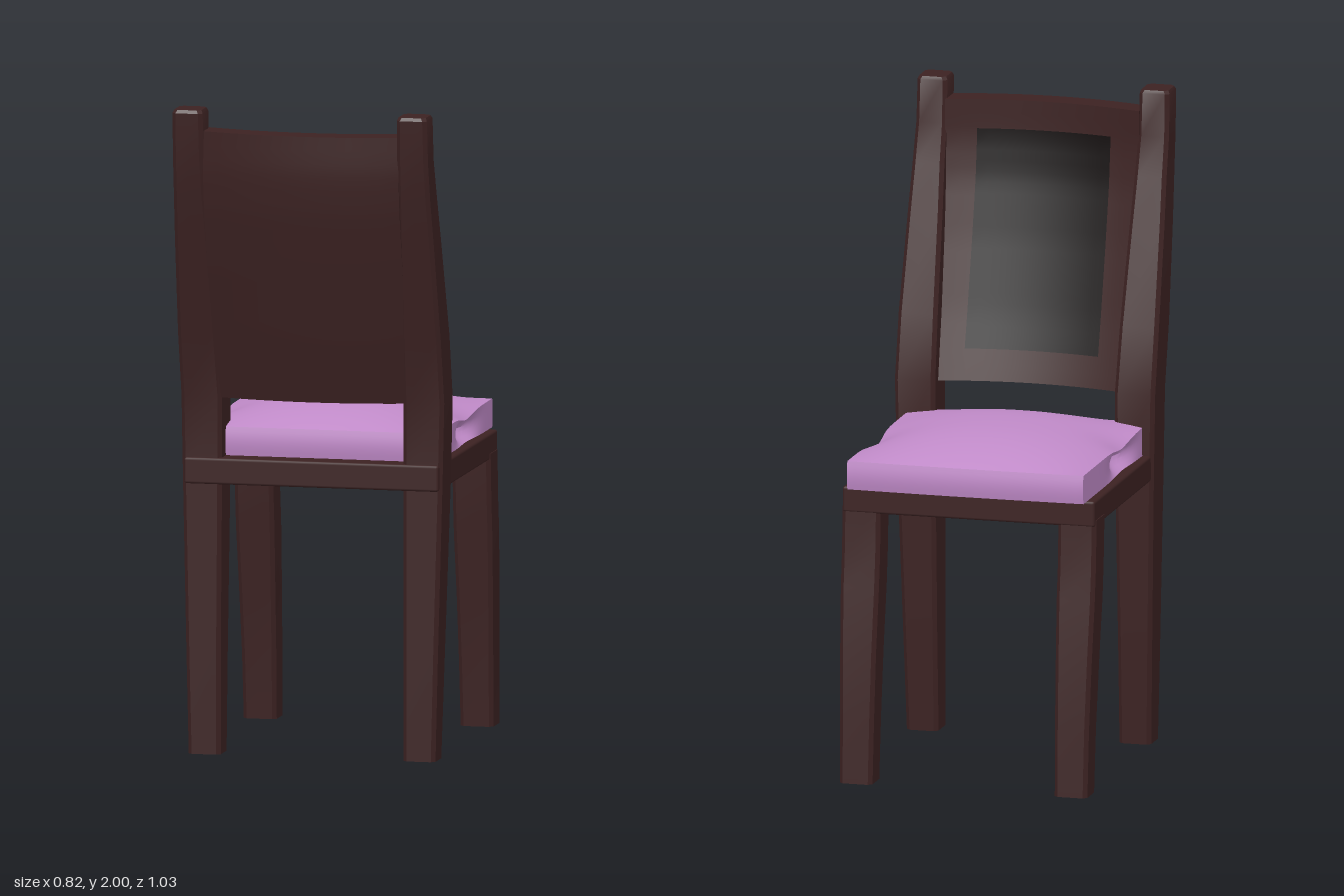
import * as THREE from 'three';
import { toCreasedNormals } from 'three/addons/utils/BufferGeometryUtils.js';
import { RoundedBoxGeometry } from 'three/addons/geometries/RoundedBoxGeometry.js';

const wood = new THREE.MeshStandardMaterial({ color: 0x3c2222 });
const dark = new THREE.MeshStandardMaterial({ color: 0x120c0c });
const fabric = new THREE.MeshStandardMaterial({ color: 0xc08ac8 });

// Chamfered rectangular post through sections [y, x0, x1, z0, z1]
function post(sections, c = 0.012) {
  const pos = [], idx = [];
  for (const [y, x0, x1, z0, z1] of sections) {
    const ring = [[x1, z0 + c], [x1, z1 - c], [x1 - c, z1], [x0 + c, z1],
      [x0, z1 - c], [x0, z0 + c], [x0 + c, z0], [x1 - c, z0]];
    for (const [x, z] of ring) pos.push(x, y, z);
  }
  const last = (sections.length - 1) * 8;
  for (let i = 0; i < last; i += 8) {
    for (let j = 0; j < 8; j++) {
      const a = i + j, b = i + (j + 1) % 8;
      idx.push(a, a + 8, b, b, a + 8, b + 8);
    }
  }
  for (let j = 1; j < 7; j++) {
    idx.push(0, j, j + 1);
    idx.push(last, last + j + 1, last + j);
  }
  const g = new THREE.BufferGeometry();
  g.setAttribute('position', new THREE.Float32BufferAttribute(pos, 3));
  g.setIndex(idx);
  return toCreasedNormals(g, 0.5);
}

// Move every vertex of a geometry by a rule
function reshape(g, rule) {
  const p = g.attributes.position, v = new THREE.Vector3();
  for (let i = 0; i < p.count; i++) {
    rule(v.fromBufferAttribute(p, i));
    p.setXYZ(i, v.x, v.y, v.z);
  }
  return toCreasedNormals(g, 0.6);
}

// Lean of the backrest: [y, z] of its seat-side face at the posts
const lean = [[1.0, 0.2], [1.1, 0.225], [1.3, 0.28], [1.52, 0.335], [1.7, 0.375], [1.82, 0.39], [2, 0.39]];
function leanAt(y) {
  let i = 0;
  while (i < lean.length - 2 && y > lean[i + 1][0]) i++;
  const [a, b] = [lean[i], lean[i + 1]];
  return THREE.MathUtils.mapLinear(y, a[0], b[0], a[1], b[1]);
}
const bend = (v) => { v.z += leanAt(v.y) + 0.045 * (1 - (v.x / 0.3) ** 2); };

export function createModel() {
  const chair = new THREE.Group();
  const add = (name, geometry, material) => {
    const m = new THREE.Mesh(geometry, material);
    m.name = name;
    chair.add(m);
  };

  // Legs and posts; the backrest stands at +z
  const backPost = [
    [0, 0.285, 0.385, 0.23, 0.33], [0.3, 0.285, 0.392, 0.215, 0.33],
    [0.85, 0.283, 0.405, 0.188, 0.322], [1.1, 0.283, 0.41, 0.185, 0.32],
    [1.3, 0.287, 0.41, 0.228, 0.366], [1.6, 0.295, 0.404, 0.312, 0.432],
    [1.74, 0.3, 0.4, 0.35, 0.462], [1.86, 0.302, 0.398, 0.385, 0.483],
    [1.99, 0.303, 0.397, 0.395, 0.493], [2, 0.308, 0.392, 0.4, 0.488]];
  const frontLeg = [
    [0, 0.287, 0.39, -0.512, -0.412], [0.2, 0.285, 0.392, -0.502, -0.398],
    [0.4, 0.283, 0.396, -0.487, -0.377], [0.6, 0.28, 0.4, -0.465, -0.352],
    [0.7, 0.28, 0.4, -0.452, -0.34], [0.85, 0.28, 0.4, -0.443, -0.33]];
  const mirrored = (s) => s.map(([y, x0, x1, z0, z1]) => [y, -x1, -x0, z0, z1]);
  add('leftBackPost', post(backPost), wood);
  add('rightBackPost', post(mirrored(backPost)), wood);
  add('leftFrontLeg', post(frontLeg), wood);
  add('rightFrontLeg', post(mirrored(frontLeg)), wood);

  // Seat board
  const seat = new RoundedBoxGeometry(0.795, 0.08, 0.78, 1, 0.008);
  seat.translate(0, 0.87, -0.056);
  add('seatBoard', seat, wood);

  // Curved backrest panel with a dark inset on the sitter's side
  const panel = new THREE.BoxGeometry(0.61, 0.84, 0.082, 12, 20, 1);
  panel.translate(0, 1.515, 0.041);
  add('backPanel', reshape(panel, bend), wood);
  const inset = new THREE.PlaneGeometry(0.42, 0.655, 12, 20);
  inset.rotateY(Math.PI);
  inset.translate(0, 1.518, -0.005);
  add('backInset', reshape(inset, bend), dark);

  // Domed cushion, pinched in on both sides
  const cushion = new THREE.BoxGeometry(2, 1, 2, 32, 6, 32);
  add('cushion', reshape(cushion, (v) => {
    const u = v.x, w = v.z, h = v.y + 0.5;
    const dome = 0.068 * (1 - Math.abs(u) ** 2.2) * (1 - Math.abs(w) ** 2.5);
    const z = -0.11 + 0.37 * w;
    const pinch = Math.exp(-(((z - (u > 0 ? -0.17 : -0.02)) / 0.1) ** 2)) * Math.abs(u) ** 5;
    const bulge = Math.sin(h * Math.PI);
    v.x = u * (0.372 - 0.045 * pinch * bulge - 0.008 * pinch);
    v.y = 0.91 + h * (0.088 + dome) - 0.02 * pinch * h;
    v.z = z + 0.006 * w * bulge + (w < 0 ? 0.006 * (1 - u * u) * w : 0);
  }), fabric);

  return chair;
}
